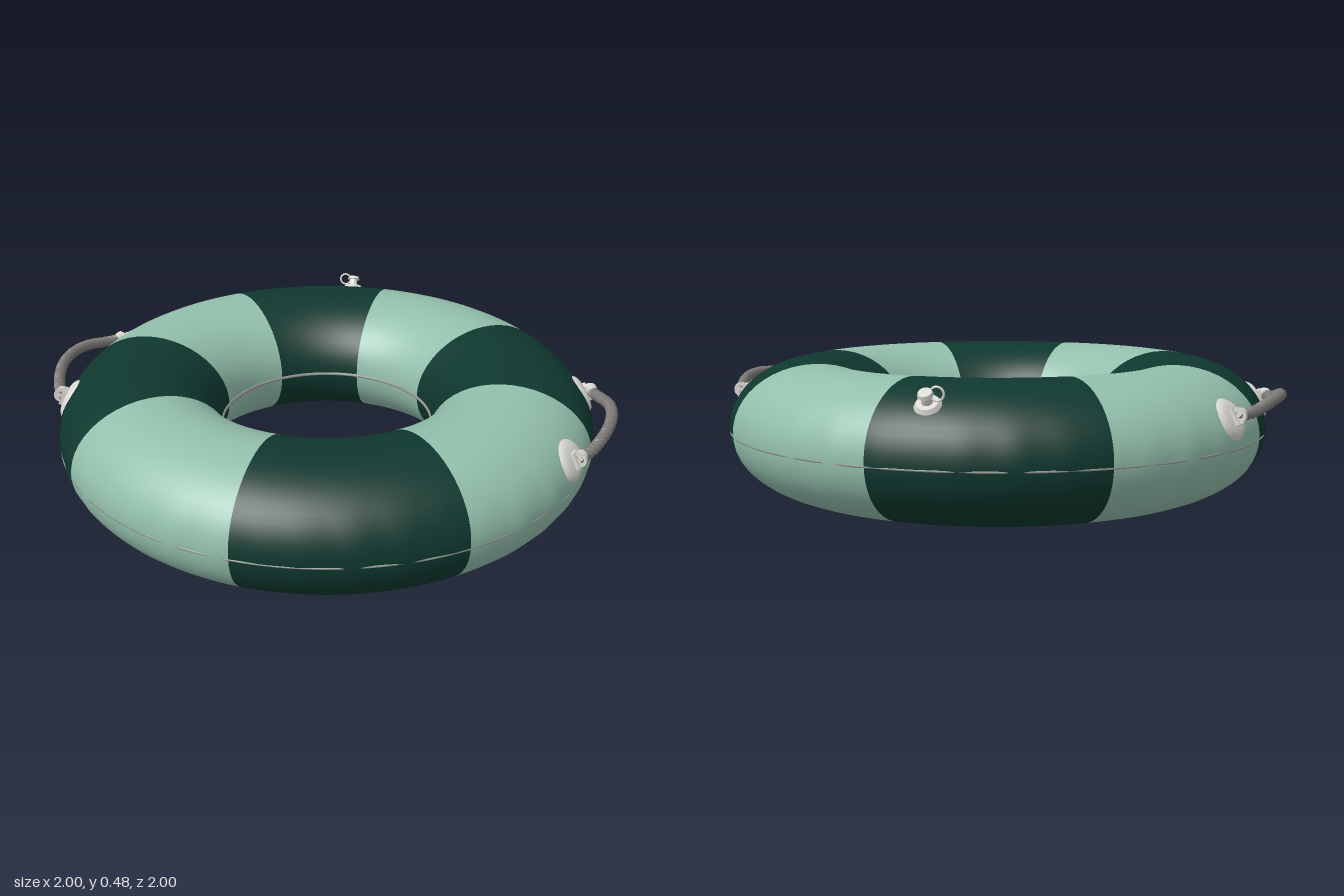
import * as THREE from 'three';

const RING = 0.7, A = 0.3, B = 0.238, MID = 0.242;
const mat = (name, color) => Object.assign(new THREE.MeshStandardMaterial({ color }), { name });

// Point on the tube: theta around the ring (+x towards +z), a around the section, lifted by off
function surf(theta, a, off = 0) {
  const n = normal(theta, a);
  const r = RING + A * Math.cos(a);
  return new THREE.Vector3(r * Math.cos(theta), MID + B * Math.sin(a), r * Math.sin(theta)).addScaledVector(n, off);
}
function normal(theta, a) {
  const c = Math.cos(a) / A;
  return new THREE.Vector3(c * Math.cos(theta), Math.sin(a) / B, c * Math.sin(theta)).normalize();
}

// Group whose z axis points out of the surface and x runs around the ring
function mount(theta, a, name) {
  const g = new THREE.Group();
  const z = normal(theta, a);
  const x = new THREE.Vector3(Math.sin(theta), 0, -Math.cos(theta));
  const y = new THREE.Vector3().crossVectors(z, x);
  g.quaternion.setFromRotationMatrix(new THREE.Matrix4().makeBasis(x, y, z));
  g.position.copy(surf(theta, a));
  g.name = name;
  return g;
}

function add(parent, name, geometry, material, x = 0, y = 0, z = 0) {
  const m = new THREE.Mesh(geometry, material);
  m.name = name;
  m.position.set(x, y, z);
  parent.add(m);
  return m;
}

// Cylinder standing along z
const post = (rTop, rBottom, h) => new THREE.CylinderGeometry(rTop, rBottom, h, 24).rotateX(Math.PI / 2);

// Inflated tube with eight coloured sectors and faint puckers along the outer seam
function tubeGeometry() {
  const sections = 48, segs = 256, pts = [];
  for (let i = 0; i <= sections; i++) {
    const a = -Math.PI + (i / sections) * Math.PI * 2;
    pts.push(new THREE.Vector2(RING + A * Math.cos(a), MID + B * Math.sin(a)));
  }
  const g = new THREE.LatheGeometry(pts, segs);
  const p = g.attributes.position;
  for (let i = 0; i < p.count; i++) {
    const x = p.getX(i), z = p.getZ(i), r = Math.hypot(x, z), t = Math.atan2(z, x);
    const near = Math.max(0, (r - RING) / A) ** 6;
    const k = 1 - 0.0025 * near * (1 + Math.sin(t * 36) * Math.cos(t * 5));
    p.setX(i, x * k);
    p.setZ(i, z * k);
  }
  g.computeVertexNormals();
  const per = (segs / 8) * sections * 6;
  for (let s = 0; s < 8; s++) g.addGroup(s * per, per, s % 2);
  return g;
}

// Round patch that follows the surface, slightly padded in the middle
function patchGeometry(theta, a, radius) {
  const g = new THREE.RingGeometry(0, radius, 40, 8);
  const p = g.attributes.position;
  for (let i = 0; i < p.count; i++) {
    const x = p.getX(i), y = p.getY(i), q = Math.hypot(x, y) / radius;
    const v = surf(theta - x / 0.97, a + y / 0.25, 0.012 * (1 - q ** 6) - 0.001);
    p.setXYZ(i, v.x, v.y, v.z);
  }
  g.computeVertexNormals();
  return g;
}

// Three strands twisted around a path
function addRope(parent, path, material) {
  const n = 160, turns = 9, frames = path.computeFrenetFrames(n);
  for (let s = 0; s < 3; s++) {
    const pts = [];
    for (let i = 0; i <= n; i++) {
      const w = (i / n) * turns * Math.PI * 2 + (s * Math.PI * 2) / 3;
      pts.push(path.getPointAt(i / n)
        .addScaledVector(frames.normals[i], Math.cos(w) * 0.0105)
        .addScaledVector(frames.binormals[i], Math.sin(w) * 0.0105));
    }
    add(parent, 'ropeStrand', new THREE.TubeGeometry(new THREE.CatmullRomCurve3(pts), 220, 0.0115, 7), material);
  }
}

export function createModel() {
  const model = new THREE.Group();
  model.name = 'swimRing';
  const light = mat('paleGreen', 0x93bfac);
  const dark = mat('deepGreen', 0x0f382f);
  const white = mat('offWhite', 0xdad8d2);
  const rope = mat('ropeGrey', 0x7d7b78);
  const seam = mat('seamGrey', 0x90958f);

  add(model, 'inflatedTube', tubeGeometry(), [light, dark]);

  // Welded seams
  const seamRing = (r, t) => new THREE.TorusGeometry(r, t, 8, 160).rotateX(Math.PI / 2);
  add(model, 'outerSeam', seamRing(0.9945, 0.004), seam, 0, 0.232, 0);
  add(model, 'innerSeam', seamRing(0.399, 0.006), seam, 0, 0.236, 0);

  // Rope handles on opposite sides
  const deg = Math.PI / 180, a0 = 0.4;
  for (const turn of [0, 180]) {
    const handle = new THREE.Group();
    handle.name = 'ropeHandle';
    model.add(handle);
    const ends = [58, 26].map((d) => (d + turn) * deg);
    ends.forEach((theta, i) => {
      add(handle, 'patch', patchGeometry(theta, a0, 0.078), white);
      const fitting = mount(theta, a0, 'fitting');
      handle.add(fitting);
      const dir = i ? -1 : 1;
      add(fitting, 'anchorPlate', new THREE.BoxGeometry(0.04, 0.06, 0.014), white, 0, 0, 0.014);
      const collar = add(fitting, 'collar', new THREE.CylinderGeometry(0.023, 0.029, 0.035, 20), white, dir * 0.012, 0, 0.024);
      collar.rotation.z = -dir * Math.PI / 2;
    });
    const at = (d, r, y) => new THREE.Vector3(r * Math.cos((d + turn) * deg), y, r * Math.sin((d + turn) * deg));
    addRope(handle, new THREE.CatmullRomCurve3([
      surf(ends[0], a0, 0.022), at(54, 1.02, 0.352), at(48, 1.043, 0.374), at(42, 1.05, 0.382),
      at(36, 1.043, 0.374), at(30, 1.02, 0.352), surf(ends[1], a0, 0.022),
    ]), rope);
  }

  // Air valve with a tethered cap
  const valve = mount(-55.5 * deg, 0.84, 'airValve');
  model.add(valve);
  add(valve, 'valveBase', post(0.036, 0.045, 0.014), white, 0, 0, 0.005);
  add(valve, 'valveStem', post(0.015, 0.019, 0.036), white, 0, 0, 0.026);
  add(valve, 'valveCap', post(0.022, 0.026, 0.012), white, 0, 0, 0.047);
  const loop = add(valve, 'capLoop', new THREE.TorusGeometry(0.022, 0.004, 8, 28), white, 0.034, 0.008, 0.04);
  loop.rotation.x = Math.PI / 3;

  return model;
}
